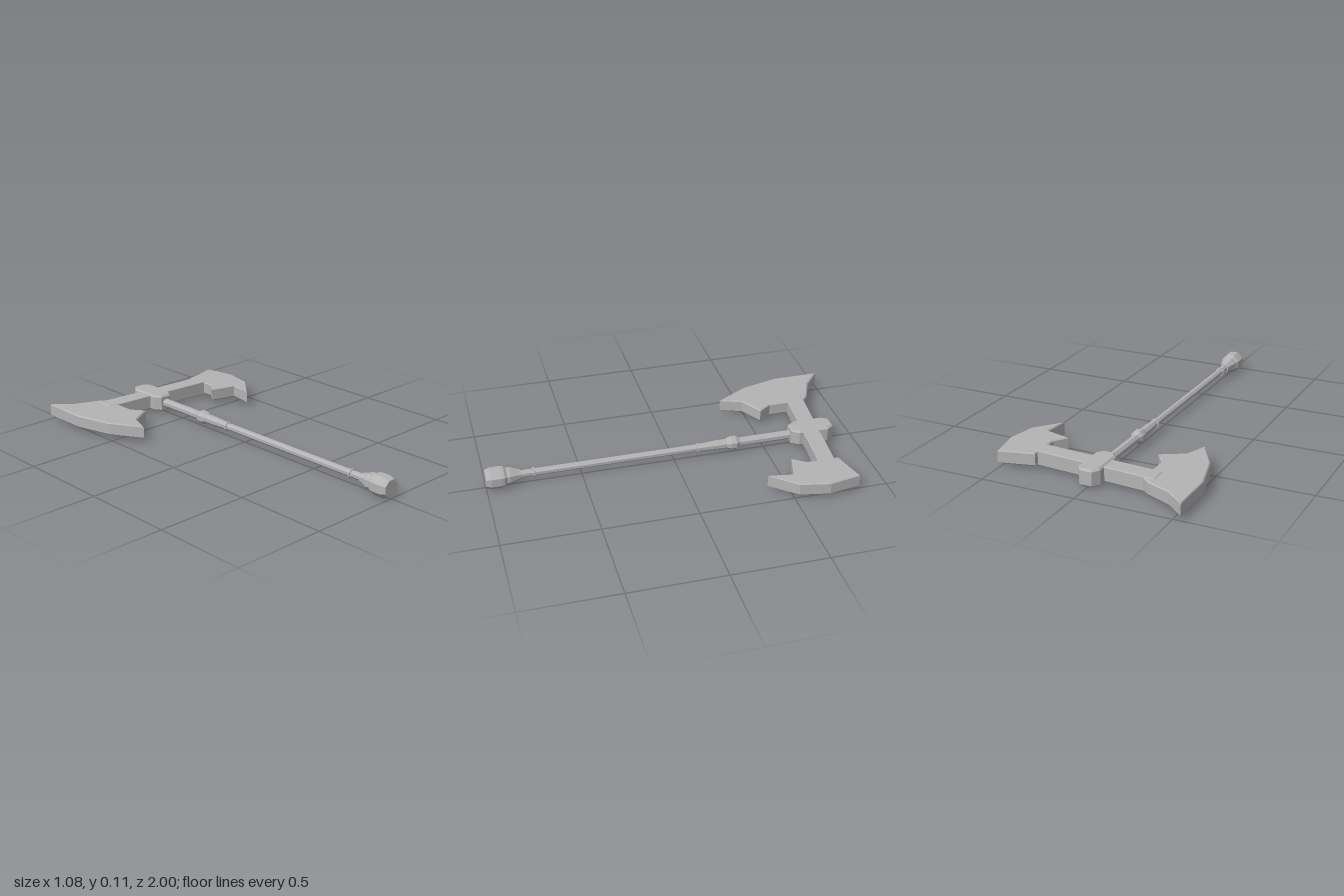
import * as THREE from 'three';

const AXIS_Y = 0.055; // height of the handle's centre line

export function createModel() {
  const group = new THREE.Group();
  const grey = new THREE.MeshStandardMaterial({ color: 0xb4b4b4, flatShading: true });
  grey.name = 'plain grey';

  const add = (name, geometry) => {
    const mesh = new THREE.Mesh(geometry, grey);
    mesh.name = name;
    mesh.position.y = AXIS_Y;
    group.add(mesh);
  };

  // Flat plate from an [x, z] outline, centred on the axis, with chamfered rims
  const plate = (name, outline, thickness, bevel) => {
    const shape = new THREE.Shape(outline.map(([x, z]) => new THREE.Vector2(x, z)));
    const geometry = new THREE.ExtrudeGeometry(shape, {
      depth: thickness - 2 * bevel,
      bevelEnabled: true,
      bevelSegments: 1,
      bevelThickness: bevel,
      bevelSize: bevel,
      bevelOffset: -bevel,
    });
    geometry.translate(0, 0, bevel - thickness / 2);
    geometry.rotateX(Math.PI / 2);
    add(name, geometry);
  };

  // Eight-sided turned part from a [radius, z] profile along the handle
  const turned = (name, profile) => {
    const points = profile.map(([r, z]) => new THREE.Vector2(r / Math.cos(Math.PI / 8), z));
    const geometry = new THREE.LatheGeometry(points, 8, Math.PI / 8);
    geometry.rotateX(Math.PI / 2);
    add(name, geometry);
  };

  // Large blade on the right, with an upswept rear point
  plate('largeBlade', [
    [-0.54, -1.0], [-0.44, -0.915], [-0.31, -0.86], [-0.27, -0.825], [-0.27, -0.625],
    [-0.22, -0.555], [-0.34, -0.487], [-0.386, -0.37], [-0.487, -0.54], [-0.54, -0.745],
  ], 0.07, 0.006);

  // Small blade on the left
  plate('smallBlade', [
    [0.323, -0.8], [0.508, -0.845], [0.54, -0.677], [0.508, -0.522],
    [0.392, -0.39], [0.413, -0.52], [0.275, -0.558], [0.323, -0.624],
  ], 0.07, 0.006);

  // Slanted bar joining the blades
  plate('crossBar', [
    [-0.33, -0.83], [0.344, -0.773], [0.344, -0.682], [-0.33, -0.735],
  ], 0.077, 0.004);

  // Chamfered block where the bar meets the handle
  plate('hub', [
    [-0.032, -0.884], [0.032, -0.884], [0.058, -0.845], [0.058, -0.684],
    [0.032, -0.645], [-0.032, -0.645], [-0.058, -0.684], [-0.058, -0.845],
  ], 0.092, 0.01);

  // Handle
  turned('upperShaft', [[0, -0.7], [0.022, -0.7], [0.022, -0.345], [0, -0.345]]);
  turned('collar', [[0, -0.362], [0.022, -0.362], [0.034, -0.34], [0.034, -0.31], [0.024, -0.285], [0, -0.285]]);
  turned('taperedNeck', [[0, -0.3], [0.024, -0.3], [0.024, -0.23], [0.018, -0.13], [0, -0.13]]);
  turned('shaft', [[0, -0.14], [0.018, -0.14], [0.018, 0.83], [0, 0.83]]);

  // Thin rings at each end of the grip
  for (const z of [-0.13, 0.75]) {
    turned('gripRing', [[0.016, z - 0.007], [0.024, z - 0.005], [0.024, z + 0.005], [0.016, z + 0.007]]);
  }

  // Stepped pommel
  turned('pommel', [
    [0, 0.818], [0.023, 0.818], [0.028, 0.835], [0.041, 0.875], [0.041, 0.892],
    [0.05, 0.905], [0.053, 0.925], [0.053, 0.975], [0.044, 1.0], [0, 1.0],
  ]);

  return group;
}
